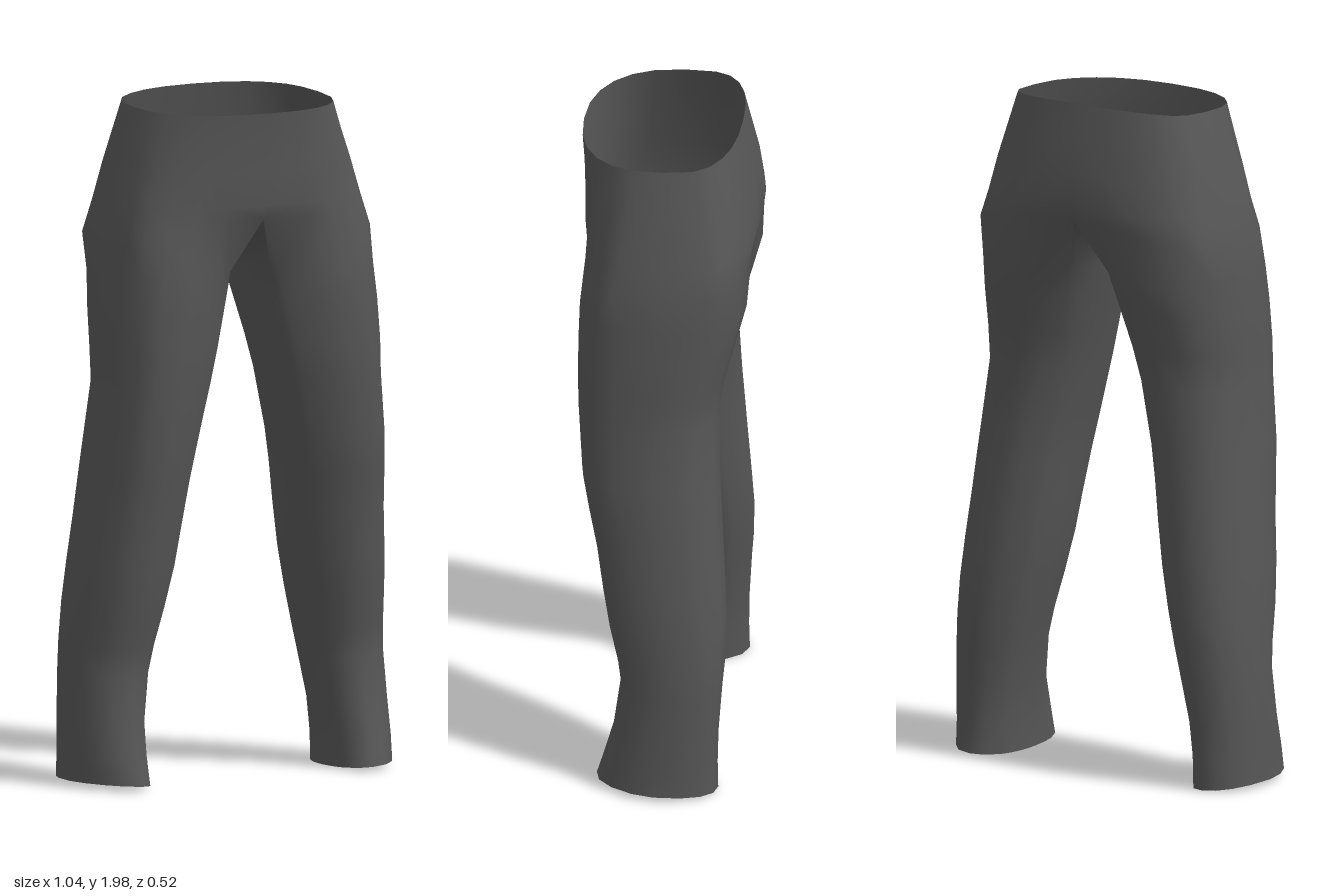
import * as THREE from 'three';
import { mergeVertices } from 'three/addons/utils/BufferGeometryUtils.js';

const N = 12; // segments around the outer half of each leg
const { lerp, smoothstep, degToRad } = THREE.MathUtils;
const spow = (v, p) => Math.sign(v) * Math.abs(v) ** p;

// Hip sections, top down: y, half width, front z, back z, front and back roundness
const HIPS = [
  [1.978, 0.305, 0.26, -0.203, 0.8, 0.6],
  [1.9, 0.33, 0.253, -0.225, 0.75, 0.6],
  [1.8, 0.36, 0.248, -0.248, 0.65, 0.6],
  [1.7, 0.385, 0.246, -0.26, 0.55, 0.55],
  [1.6, 0.41, 0.246, -0.257, 0.45, 0.45],
];

// Leg sections, top down: y, inner x, outer x, front z, back z
const LEG = [
  [1.5, 0.025, 0.42, 0.245, -0.236],
  [1.4, 0.05, 0.428, 0.247, -0.21],
  [1.28, 0.08, 0.432, 0.247, -0.178],
  [1.18, 0.105, 0.432, 0.243, -0.162],
  [1.0, 0.148, 0.453, 0.232, -0.168],
  [0.9, 0.167, 0.463, 0.218, -0.174],
  [0.78, 0.185, 0.475, 0.2, -0.181],
  [0.65, 0.207, 0.49, 0.187, -0.189],
  [0.53, 0.235, 0.5, 0.168, -0.195],
  [0.42, 0.262, 0.506, 0.142, -0.192],
  [0.34, 0.28, 0.51, 0.131, -0.185],
  [0.2, 0.308, 0.515, 0.15, -0.176],
  [0.1, 0.316, 0.516, 0.178, -0.174],
  [0.022, 0.317, 0.52, 0.2, -0.176],
];

// Half section of the hips, from front centre round the side to back centre
function hipArc([y, w, zf, zb, pf, pb], row) {
  const pts = [];
  for (let j = 0; j <= N; j++) {
    const t = (j / N) * Math.PI, c = Math.cos(t);
    let py = y, z = c > 0 ? zf * spow(c, pf) : -zb * spow(c, pb);
    if (row === 0) py += 0.006 * c * c - 0.013 * c; // waist rises at the back
    if (row === HIPS.length - 1) {                  // last row rises into the crotch
      py += 0.06 * c * c;
      z *= 1 - 0.08 * c ** 24;
    }
    pts.push([j === 0 || j === N ? 0 : w * spow(Math.sin(t), 0.85), py, z]);
  }
  return pts;
}

// Closed section of a leg, starting at the inner front; the left shin is a little slimmer
function legRing([y, xi, xo, zf, zb], row, side) {
  const pts = [], lap = 50;
  const front = zf - (side > 0 ? 0.02 * (1 - smoothstep(y, 0.55, 1.1)) : 0);
  const skew = lerp(-0.03, 0.035, Math.min(y / 1.2, 1)); // front leans out at the thigh, in at the toe
  const isHem = row === LEG.length - 1;
  for (let j = 0; j < 2 * N; j++) {
    const a = degToRad(j <= N
      ? -lap + (j / N) * (180 + 2 * lap)
      : 180 + lap + ((j - N) / N) * (180 - 2 * lap));
    const s = Math.sin(a), c = Math.cos(a);
    pts.push([
      (xi + xo) / 2 + ((xo - xi) / 2) * spow(s, 0.92) + skew * Math.max(c, 0) ** 2,
      y + (isHem ? 0.007 * s + 0.005 * c : 0),
      (front + zb) / 2 + ((front - zb) / 2) * spow(c, isHem && c > 0 ? 1.1 : 0.9),
    ]);
  }
  return pts;
}

function trouserGeometry() {
  const pos = [], idx = [];
  for (const side of [1, -1]) {
    const add = (ring) => {
      const start = pos.length / 3;
      for (const [x, y, z] of ring) pos.push(side * x, y, z);
      return start;
    };
    const tri = (a, b, c) => (side > 0 ? idx.push(a, b, c) : idx.push(a, c, b));
    const bridge = (top, low, count, wrap) => {
      for (let j = 0; j < count; j++) {
        const k = (j + 1) % wrap;
        tri(top + j, low + j, top + k);
        tri(top + k, low + j, low + k);
      }
    };
    // Hips
    const arcs = HIPS.map(hipArc);
    const last = arcs[arcs.length - 1];
    // Crotch seam on the centre plane, from back to front
    const zBack = last[N][2], zFront = last[0][2];
    for (let j = 1; j < N; j++) {
      const c = -Math.cos((j / N) * Math.PI);
      last.push([0, 1.6 + 0.06 * c * c, c > 0 ? c * zFront : -c * zBack]);
    }
    const hipStarts = arcs.map(add);
    for (let i = 1; i < hipStarts.length; i++) bridge(hipStarts[i - 1], hipStarts[i], N, N + 1);
    // Legs
    let prev = hipStarts[hipStarts.length - 1];
    LEG.forEach((section, row) => {
      const start = add(legRing(section, row, side));
      bridge(prev, start, 2 * N, 2 * N);
      prev = start;
    });
  }
  let geo = new THREE.BufferGeometry();
  geo.setAttribute('position', new THREE.Float32BufferAttribute(pos, 3));
  geo.setIndex(idx);
  geo = mergeVertices(geo, 1e-4); // weld both halves along the centre seam
  geo.computeVertexNormals();
  return geo;
}

export function createModel() {
  const cloth = new THREE.MeshStandardMaterial({ color: 0x565656, side: THREE.DoubleSide });
  cloth.name = 'dark grey cloth';
  const trousers = new THREE.Mesh(trouserGeometry(), cloth);
  trousers.name = 'trousers';
  const group = new THREE.Group();
  group.name = 'trouserModel';
  group.add(trousers);
  return group;
}
